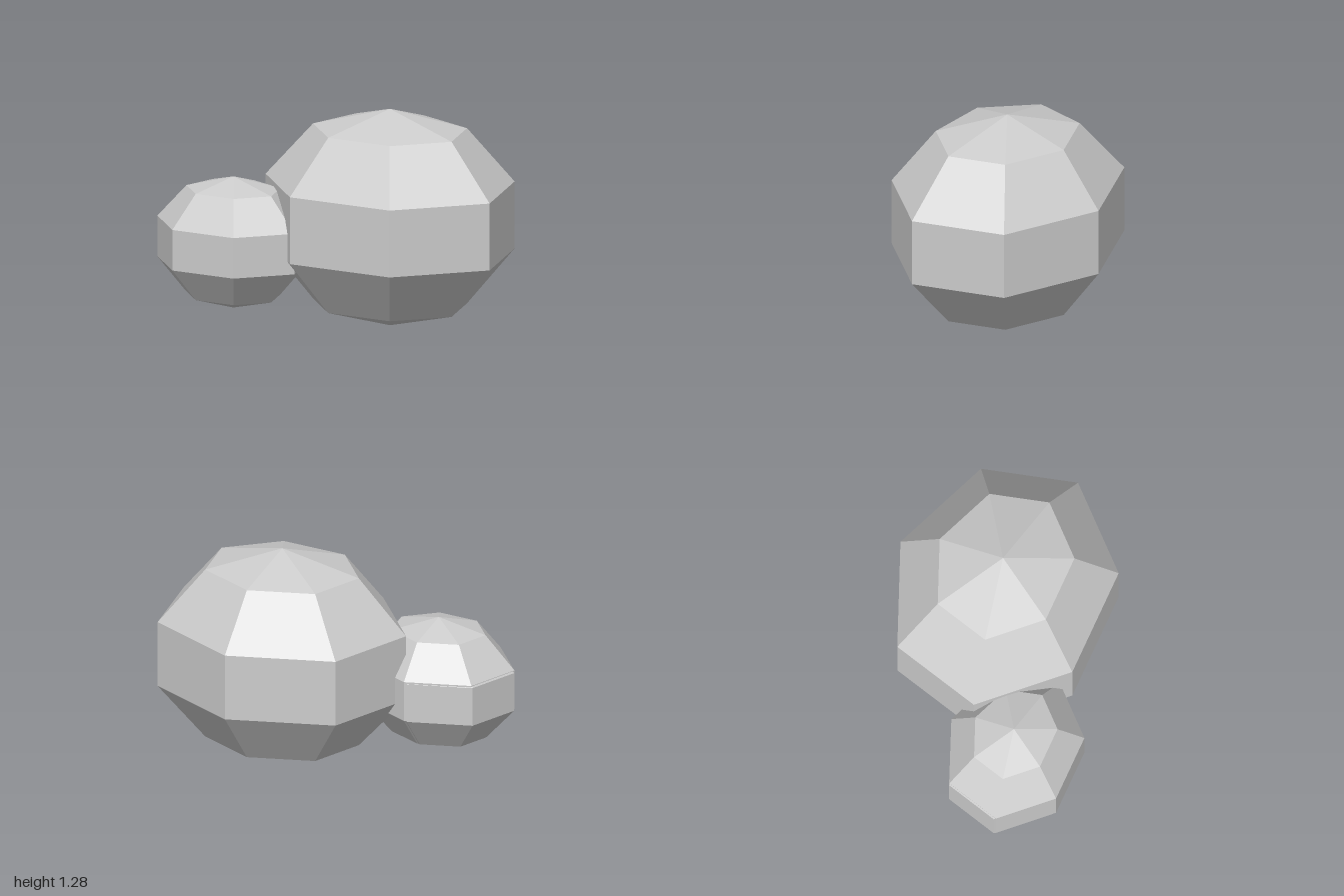
import * as THREE from 'three';

export function createModel() {
  const group = new THREE.Group();
  group.name = 'boulderCluster';
  const material = new THREE.MeshStandardMaterial({ color: 0xcccccc, flatShading: true });

  // Faceted seven-sided boulder, with one corner pointing to the back
  function addBoulder(name, position, radii) {
    const geometry = new THREE.SphereGeometry(1, 7, 5, -Math.PI / 2);
    geometry.scale(...radii);
    const mesh = new THREE.Mesh(geometry, material);
    mesh.name = name;
    mesh.position.set(...position);
    group.add(mesh);
  }

  addBoulder('largeBoulder', [0.257, 0.643, -0.065], [0.801, 0.64, 0.678]);
  addBoulder('smallBoulder', [-0.54, 0.488, 0.355], [0.49, 0.388, 0.413]);
  // Nearly buried boulder, just breaking through the side of the small one
  addBoulder('buriedBoulder', [-0.557, 0.479, 0.347], [0.477, 0.378, 0.398]);

  return group;
}
